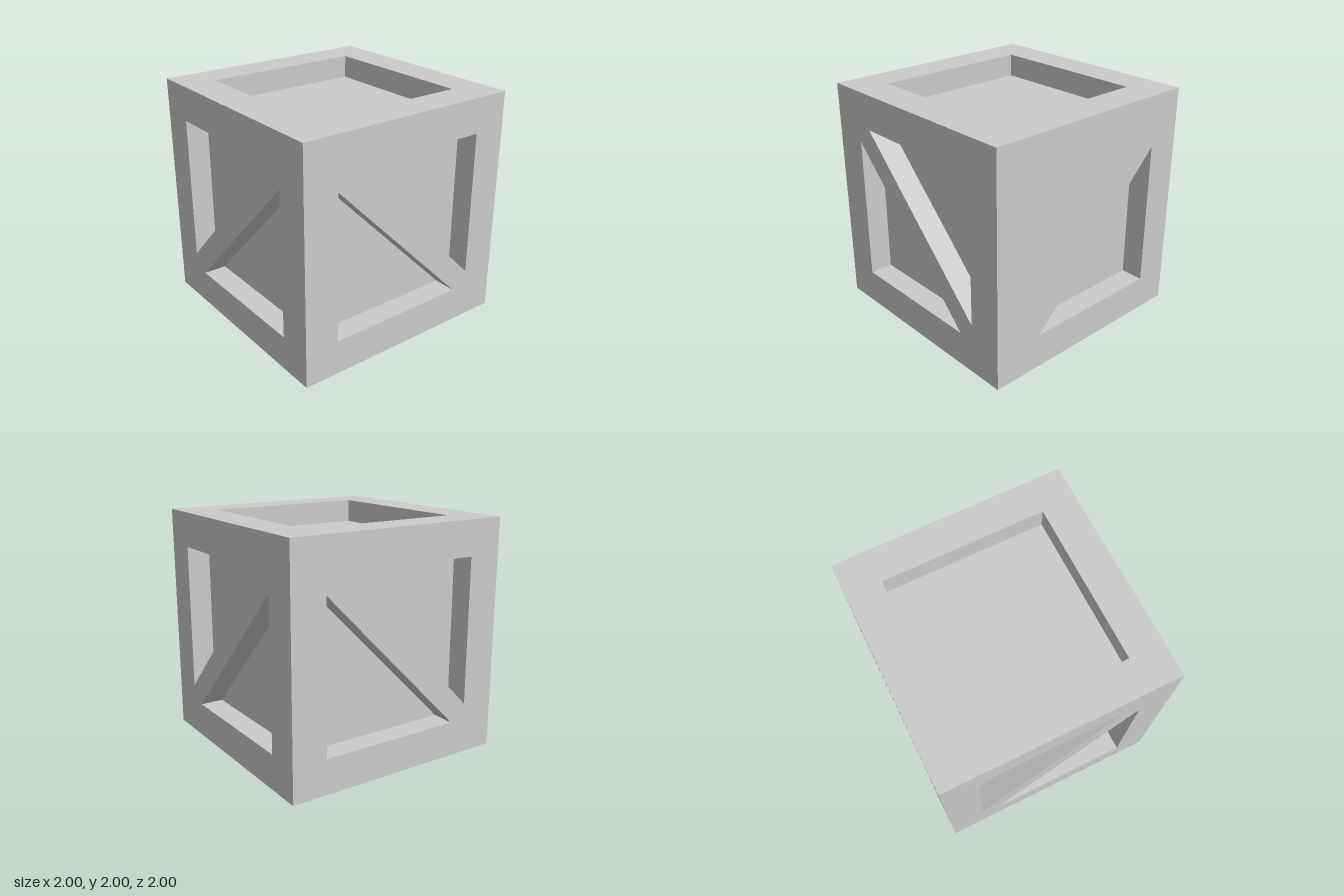
import * as THREE from 'three';
import { mergeGeometries } from 'three/addons/utils/BufferGeometryUtils.js';

const HALF = 1;      // half of the cube's side
const INNER = 0.7;   // half of the opening inside the frame
const TIP = 0.56;    // where the diagonal brace cuts the opening
const DEPTH = 0.2;   // recess depth

const material = new THREE.MeshStandardMaterial({ color: 0xcccccc, flatShading: true });
const points = (list) => list.map(([x, y]) => new THREE.Vector2(x, y));

// Outlines of the recesses, counter-clockwise
const square = points([[-INNER, -INNER], [INNER, -INNER], [INNER, INNER], [-INNER, INNER]]);
const triangles = [
  points([[-INNER, INNER], [-INNER, -TIP], [TIP, INNER]]),
  points([[INNER, -INNER], [INNER, TIP], [-TIP, -INNER]]),
];
const mirrored = triangles.map((t) => t.map((p) => new THREE.Vector2(-p.x, p.y)).reverse());

// Inward-facing walls and sunken floor of one recess
function recessGeometry(outline) {
  const positions = [];
  outline.forEach((a, i) => {
    const b = outline[(i + 1) % outline.length];
    positions.push(a.x, a.y, 0, b.x, b.y, 0, b.x, b.y, -DEPTH);
    positions.push(a.x, a.y, 0, b.x, b.y, -DEPTH, a.x, a.y, -DEPTH);
  });
  const walls = new THREE.BufferGeometry();
  walls.setAttribute('position', new THREE.Float32BufferAttribute(positions, 3));
  walls.computeVertexNormals();
  const floor = new THREE.ShapeGeometry(new THREE.Shape(outline)).toNonIndexed();
  floor.deleteAttribute('uv');
  floor.translate(0, 0, -DEPTH);
  return mergeGeometries([walls, floor]);
}

// One side of the crate: frame face with recesses, pushed out to the cube's surface
function createSide(name, outlines, rotX, rotY) {
  const side = new THREE.Group();
  side.name = name;
  const shape = new THREE.Shape(points([[-HALF, -HALF], [HALF, -HALF], [HALF, HALF], [-HALF, HALF]]));
  shape.holes = outlines.map((o) => new THREE.Path(o));
  const frame = new THREE.Mesh(new THREE.ShapeGeometry(shape), material);
  frame.name = 'frame';
  frame.position.z = HALF;
  side.add(frame);
  for (const outline of outlines) {
    const recess = new THREE.Mesh(recessGeometry(outline), material);
    recess.name = 'recessedPanel';
    recess.position.z = HALF;
    side.add(recess);
  }
  side.rotation.set(rotX, rotY, 0);
  side.position.y = HALF;
  return side;
}

export function createModel() {
  const crate = new THREE.Group();
  crate.name = 'crate';
  const quarter = Math.PI / 2;
  // Braces alternate direction around the four sides
  ['frontSide', 'leftSide', 'backSide', 'rightSide'].forEach((name, i) => {
    crate.add(createSide(name, i % 2 ? mirrored : triangles, 0, i * quarter));
  });
  crate.add(createSide('lid', [square], -quarter, 0));
  crate.add(createSide('base', [], quarter, 0));
  return crate;
}
